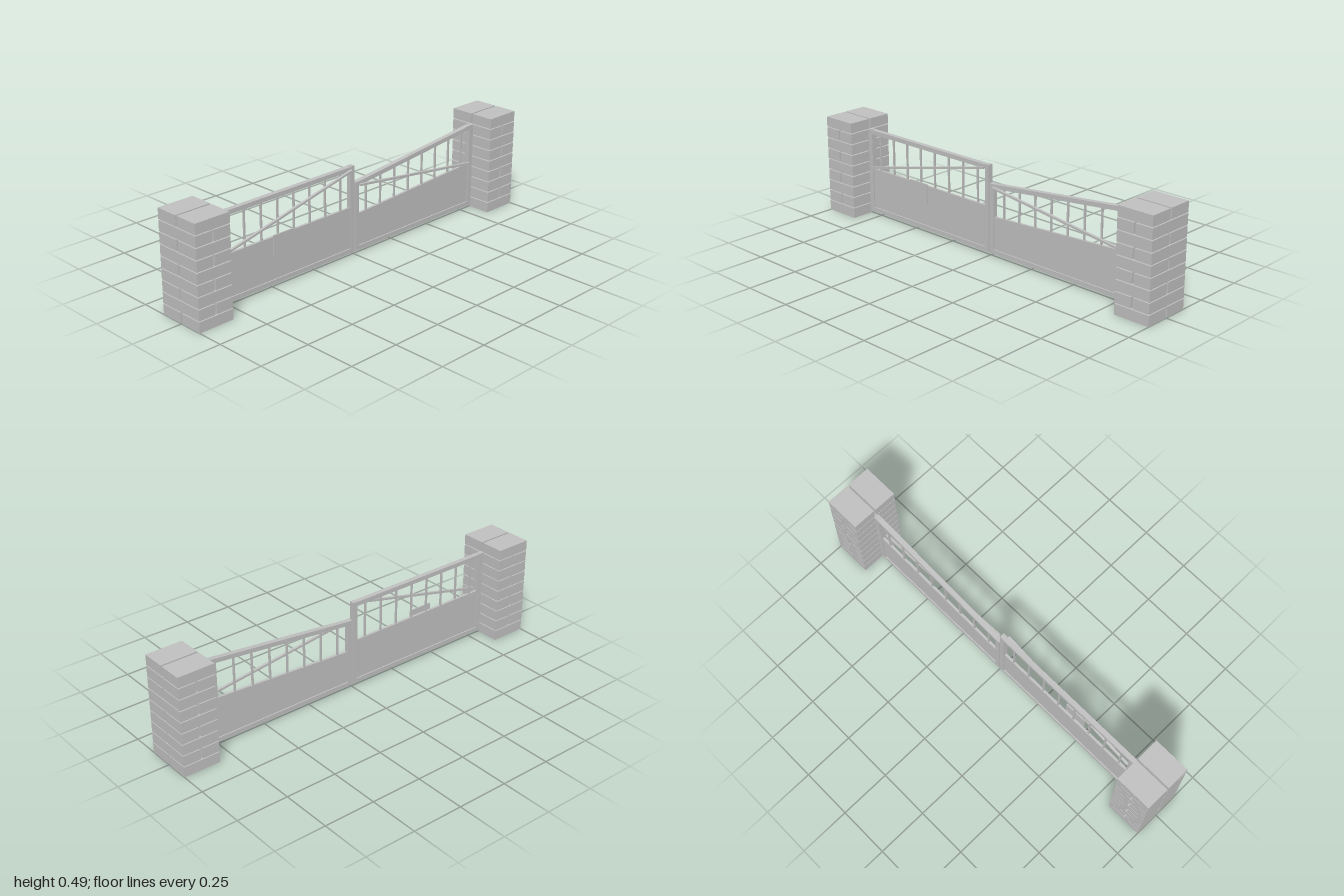
import * as THREE from 'three';

const grey = new THREE.MeshStandardMaterial({ color: 0xc0c0c0 });
grey.name = 'light grey';

function add(parent, name, geometry) {
  const mesh = new THREE.Mesh(geometry, grey);
  mesh.name = name;
  parent.add(mesh);
  return mesh;
}

// Box given by its limits on each axis
function block(parent, name, x0, x1, y0, y1, z0, z1) {
  const g = new THREE.BoxGeometry(Math.abs(x1 - x0), y1 - y0, z1 - z0);
  g.translate((x0 + x1) / 2, (y0 + y1) / 2, (z0 + z1) / 2);
  return add(parent, name, g);
}

// Flat outline in x/y extruded from z0 to z1
function plate(parent, name, points, z0, z1) {
  const shape = new THREE.Shape(points.map(([x, y]) => new THREE.Vector2(x, y)));
  const g = new THREE.ExtrudeGeometry(shape, { depth: z1 - z0, bevelEnabled: false });
  g.translate(0, 0, z0);
  return add(parent, name, g);
}

// Pillar of nine courses, each a pair of bricks turned against the last
function pillar(side) {
  const group = new THREE.Group();
  group.name = side > 0 ? 'leftPillar' : 'rightPillar';
  const x0 = 0.82, x1 = 1, xm = 0.91, d = 0.12, gap = 0.0045;
  for (let i = 0; i < 9; i++) {
    const y0 = i * 0.0547, y1 = y0 + 0.05;
    if (i % 2 === 0) {
      block(group, 'brick', side * x0, side * x1, y0, y1, gap, d);
      block(group, 'brick', side * x0, side * x1, y0, y1, -d, -gap);
    } else {
      block(group, 'brick', side * x0, side * (xm - gap), y0, y1, -d, d);
      block(group, 'brick', side * (xm + gap), side * x1, y0, y1, -d, d);
    }
  }
  return group;
}

// Gate leaf: heights are given at the meeting end and at the hinge end
function gate({ side, top, panel, brace, stiles }) {
  const group = new THREE.Group();
  group.name = side > 0 ? 'leftGate' : 'rightGate';
  const inner = 0.027, outer = 0.791, bottom = 0.015, half = 0.012;
  const at = ([a, b], x) => a + (b - a) * (x - inner) / (outer - inner);
  const X = (x) => side * x;

  // Frame
  block(group, 'meetingStile', X(0.003), X(inner), bottom, stiles[0], -half, half);
  block(group, 'hingeStile', X(outer), X(0.817), bottom, stiles[1], -half, half);
  block(group, 'bottomRail', X(inner), X(outer), bottom, 0.036, -half, half);
  plate(group, 'topRail', [
    [X(inner), top[0] - 0.021], [X(outer), top[1] - 0.021],
    [X(outer), top[1]], [X(inner), top[0]],
  ], -half, half);

  // Solid lower panel
  plate(group, 'panel', [
    [X(inner), 0.03], [X(outer), 0.03], [X(outer), panel[1]], [X(inner), panel[0]],
  ], -0.006, 0.006);

  // Upright bars
  for (let i = 0; i < 8; i++) {
    const x = 0.082 + i * 0.0943;
    block(group, 'bar', X(x - 0.004), X(x + 0.004), at(panel, x) - 0.005, at(top, x) - 0.018, -0.004, 0.004);
  }

  // Diagonal brace on the front
  plate(group, 'brace', [
    [X(inner), brace[0] - 0.005], [X(outer), brace[1] - 0.005],
    [X(outer), brace[1] + 0.005], [X(inner), brace[0] + 0.005],
  ], 0.012, 0.024);
  return group;
}

export function createModel() {
  const model = new THREE.Group();
  model.name = 'drivewayGate';
  model.add(pillar(1), pillar(-1));
  model.add(gate({ side: -1, top: [0.438, 0.438], panel: [0.238, 0.238], brace: [0.423, 0.245], stiles: [0.44, 0.44] }));
  model.add(gate({ side: 1, top: [0.355, 0.437], panel: [0.195, 0.237], brace: [0.34, 0.243], stiles: [0.355, 0.437] }));

  // Blank sign plate
  block(model, 'signPlate', -0.508, -0.394, 0.158, 0.256, 0.022, 0.028);
  return model;
}
